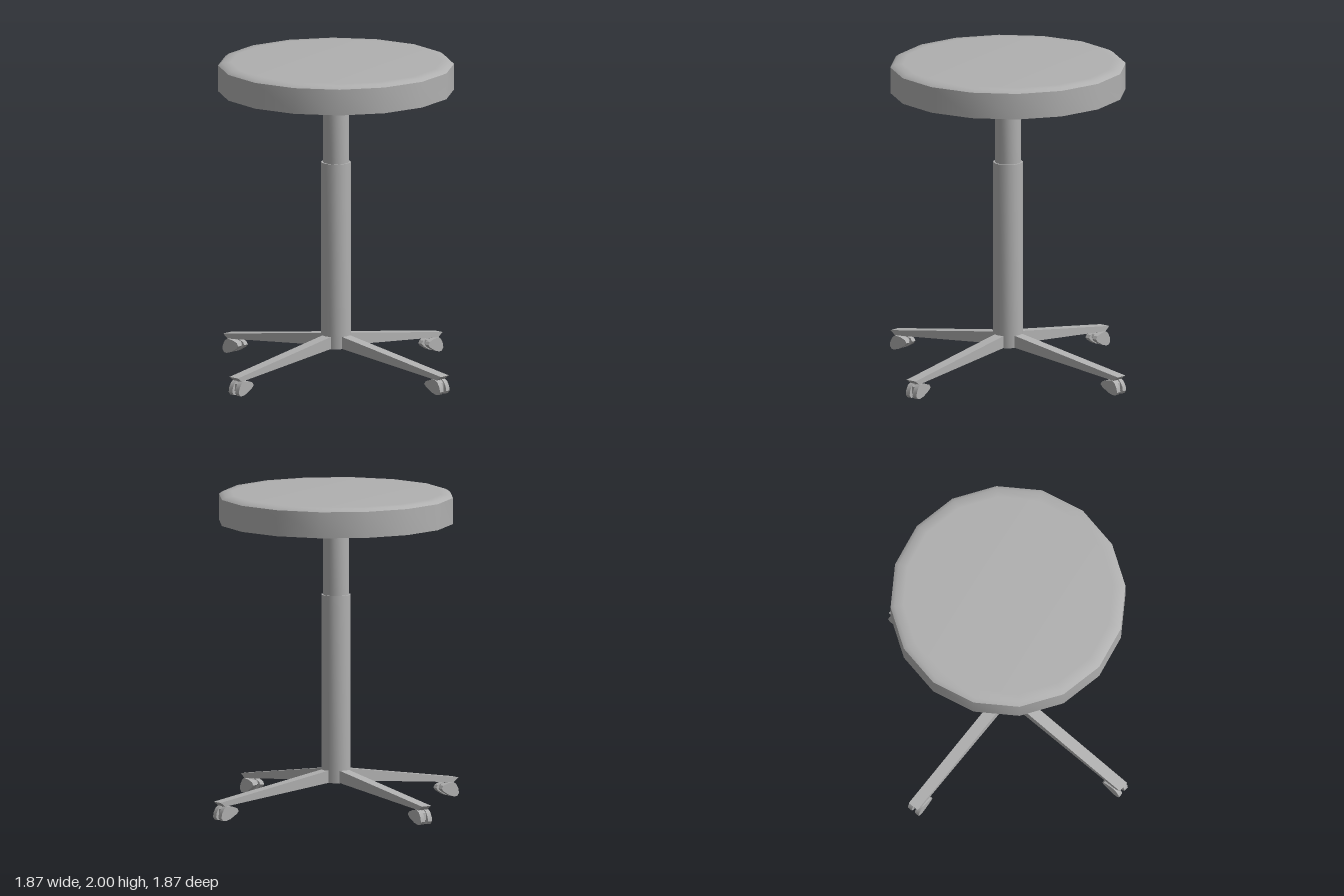
import * as THREE from 'three';
import { toCreasedNormals } from 'three/addons/utils/BufferGeometryUtils.js';

const grey = new THREE.MeshStandardMaterial({ color: 0xb0b0b0 });
grey.name = 'grey';

function mesh(name, geometry, parent) {
  const m = new THREE.Mesh(geometry, grey);
  m.name = name;
  parent.add(m);
  return m;
}

// Turned part from [radius, height] points, listed bottom to top
function turned(points, sides) {
  const profile = points.map(([r, y]) => new THREE.Vector2(r, y));
  return toCreasedNormals(new THREE.LatheGeometry(profile, sides), 0.95);
}

// Side outline given thickness across z, centred on z
function slab(points, width, z = 0) {
  const shape = new THREE.Shape(points.map(([x, y]) => new THREE.Vector2(x, y)));
  const g = new THREE.ExtrudeGeometry(shape, { depth: width, bevelEnabled: false });
  return g.translate(0, 0, z - width / 2);
}

// One arm of the base with its twin-wheel caster, pointing along +x
function createArm() {
  const arm = new THREE.Group();
  arm.name = 'baseArm';
  mesh('leg', slab([[0.03, 0.175], [0.09, 0.173], [0.9, 0.093], [0.937, 0.12], [0.09, 0.25], [0.03, 0.25]], 0.072), arm);

  const caster = new THREE.Group();
  caster.name = 'caster';
  arm.add(caster);
  const wheel = [
    [0.8, 0.058], [0.815, 0.041], [0.865, 0.012], [0.9, 0.002], [0.922, 0.004],
    [0.936, 0.022], [0.932, 0.05], [0.915, 0.08], [0.893, 0.095], [0.85, 0.09], [0.812, 0.077],
  ];
  for (const side of [-1, 1]) {
    mesh('wheel', toCreasedNormals(slab(wheel, 0.032, side * 0.028), 0.6), caster);
  }
  // Recessed bridge between the wheels, and the stem into the leg
  mesh('bridge', slab([[0.82, 0.06], [0.87, 0.03], [0.915, 0.03], [0.912, 0.075], [0.89, 0.09], [0.83, 0.08]], 0.03), caster);
  mesh('stem', new THREE.CylinderGeometry(0.02, 0.02, 0.05, 10).translate(0.875, 0.092, 0), caster);
  return arm;
}

export function createModel() {
  const model = new THREE.Group();
  model.name = 'stool';

  // Round seat with a softened top edge
  mesh('seat', turned([[0, 1.815], [0.74, 1.815], [0.74, 1.98], [0.715, 1.997], [0.66, 2], [0, 2]], 16), model);

  // Telescopic column
  mesh('upperColumn', turned([[0, 1.34], [0.082, 1.34], [0.082, 1.82], [0, 1.82]], 16), model);
  mesh('lowerColumn', turned([[0, 0.172], [0.093, 0.172], [0.093, 1.357], [0, 1.357]], 16), model);

  // Four-armed base
  for (let i = 0; i < 4; i++) {
    const arm = createArm();
    arm.rotation.y = i * Math.PI / 2;
    model.add(arm);
  }
  return model;
}
